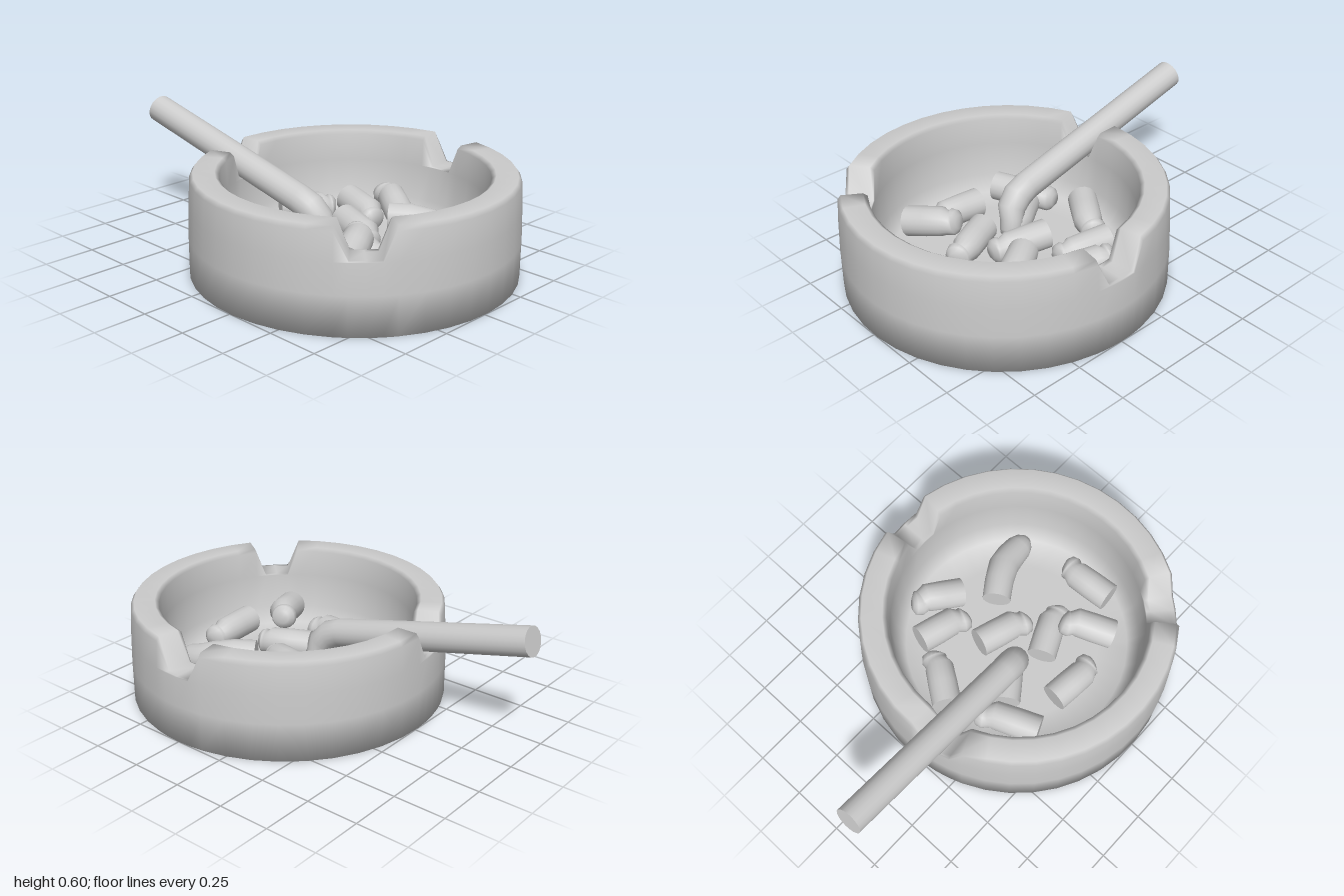
import * as THREE from 'three';

const material = new THREE.MeshStandardMaterial({ color: 0xcccccc });
const rad = THREE.MathUtils.degToRad;

// Smooth skin over a list of closed rings of points
function skin(name, rings) {
  const n = rings[0].length, index = [];
  for (let i = 0; i < rings.length - 1; i++) {
    for (let j = 0; j < n; j++) {
      const a = i * n + j, b = i * n + (j + 1) % n;
      index.push(a, a + n, b, a + n, b + n, b);
    }
  }
  const geometry = new THREE.BufferGeometry().setFromPoints(rings.flat());
  geometry.setIndex(index);
  geometry.computeVertexNormals();
  const mesh = new THREE.Mesh(geometry, material);
  mesh.name = name;
  return mesh;
}

// Round bowl whose rim dips into three tapered notches
function makeBowl() {
  const notches = [0, 133, 258], top = 10.2, bottom = 5.4;
  const notchFloor = 0.32, rimY = 0.465;
  const columns = []; // [angle, height limit]
  notches.forEach((c, i) => {
    columns.push([c - top, rimY], [c - bottom, notchFloor], [c, notchFloor], [c + bottom, notchFloor], [c + top, rimY]);
    const from = c + top, to = (i < 2 ? notches[i + 1] : 360) - top;
    const steps = Math.round((to - from) / 9);
    for (let s = 1; s < steps; s++) columns.push([from + (to - from) * s / steps, rimY]);
  });
  const profile = [
    [0, 0], [0.6, 0], [0.75, 0], [0.75, 0.18], [0.745, 0.32], [0.737, 0.445], [0.722, 0.465],
    [0.625, 0.465], [0.605, 0.45], [0.6, 0.32], [0.59, 0.15], [0.54, 0.075], [0.4, 0.07], [0, 0.07],
  ];
  return skin('bowl', profile.map(([r, y]) => columns.map(([a, limit]) =>
    new THREE.Vector3(r * Math.cos(rad(a)), Math.min(y, limit), 0.25 + r * Math.sin(rad(a))))));
}

// Round stick through points [x, y, z, radius]: flat at the start, domed at the end
function makeStick(name, path, sides = 18) {
  const points = path.map(p => new THREE.Vector3(p[0], p[1], p[2]));
  const last = points.length - 1, up = new THREE.Vector3(0, 1, 0);
  const rings = points.map((p, i) => {
    const t = points[Math.min(i + 1, last)].clone().sub(points[Math.max(i - 1, 0)]).normalize();
    const side = t.clone().cross(up).normalize(), rise = side.clone().cross(t);
    return Array.from({ length: sides }, (_, k) => {
      const a = k / sides * Math.PI * 2;
      return p.clone().addScaledVector(side, path[i][3] * Math.cos(a)).addScaledVector(rise, path[i][3] * Math.sin(a));
    });
  });
  const fill = p => Array.from({ length: sides }, () => p.clone());
  const startCap = [fill(points[0]), rings[0].map(p => p.clone())];
  return skin(name, [...startCap, ...rings, fill(points[last])]);
}

// Short stub with a pinched and bulging stubbed-out end
function makeStub([x1, y1, z1, x2, y2, z2], i) {
  const dx = x2 - x1, dy = y2 - y1, dz = z2 - z1, length = Math.hypot(dx, dz);
  const turn = i % 2 ? 1 : -1;
  // [fraction along, sideways shift, drop, radius]
  const sections = [
    [0, 0, 0, 0.07], [0.4, 0, 0, 0.07], [0.74, 0, 0, 0.068], [0.84, 0.008, 0.012, 0.056],
    [0.93, 0.016, 0.012, 0.062], [1, 0.016, 0.012, 0.055], [1.06, 0.014, 0.012, 0.032],
  ];
  return makeStick('stub', sections.map(([f, shift, drop, r]) => [
    x1 + dx * f - turn * shift * dz / length,
    y1 + dy * f - drop,
    z1 + dz * f + turn * shift * dx / length, r]));
}

export function createModel() {
  const model = new THREE.Group();
  model.name = 'ashtray';
  model.add(makeBowl());

  // Long stick resting in the back notch, bent down where it is stubbed out
  model.add(makeStick('longStick', [
    [-0.14, 0.535, -0.98, 0.068], [-0.127, 0.41, -0.47, 0.068], [-0.115, 0.29, 0.02, 0.068],
    [-0.11, 0.265, 0.08, 0.07], [-0.1, 0.22, 0.125, 0.066], [-0.085, 0.17, 0.14, 0.054],
    [-0.075, 0.13, 0.15, 0.055], [-0.07, 0.1, 0.155, 0.035],
  ]));

  // Stubs: flat end, then crushed end
  const stubs = [
    [-0.4, 0.14, -0.035, -0.13, 0.14, -0.15],
    [-0.19, 0.14, -0.04, -0.05, 0.14, 0.15],
    [0, 0.16, -0.24, 0.21, 0.15, -0.09],
    [0.32, 0.16, -0.09, 0.26, 0.14, 0.15],
    [0.35, 0.14, 0.23, 0.47, 0.2, 0.03],
    [0.1, 0.16, 0.09, 0.03, 0.14, 0.34],
    [-0.345, 0.14, 0.13, -0.37, 0.14, 0.38],
    [-0.16, 0.14, 0.25, -0.05, 0.14, 0.48],
    [-0.35, 0.21, 0.54, -0.14, 0.26, 0.43],
    [-0.2, 0.14, 0.7, 0.06, 0.14, 0.68],
  ];
  stubs.forEach((s, i) => model.add(makeStub(s, i)));

  // Stub bent in the middle
  model.add(makeStick('bentStub', [
    [0.18, 0.2, 0.3, 0.068], [0.235, 0.2, 0.38, 0.07], [0.28, 0.18, 0.46, 0.074],
    [0.298, 0.155, 0.53, 0.072], [0.305, 0.14, 0.6, 0.066], [0.308, 0.135, 0.64, 0.05], [0.31, 0.133, 0.665, 0.025],
  ]));
  return model;
}
